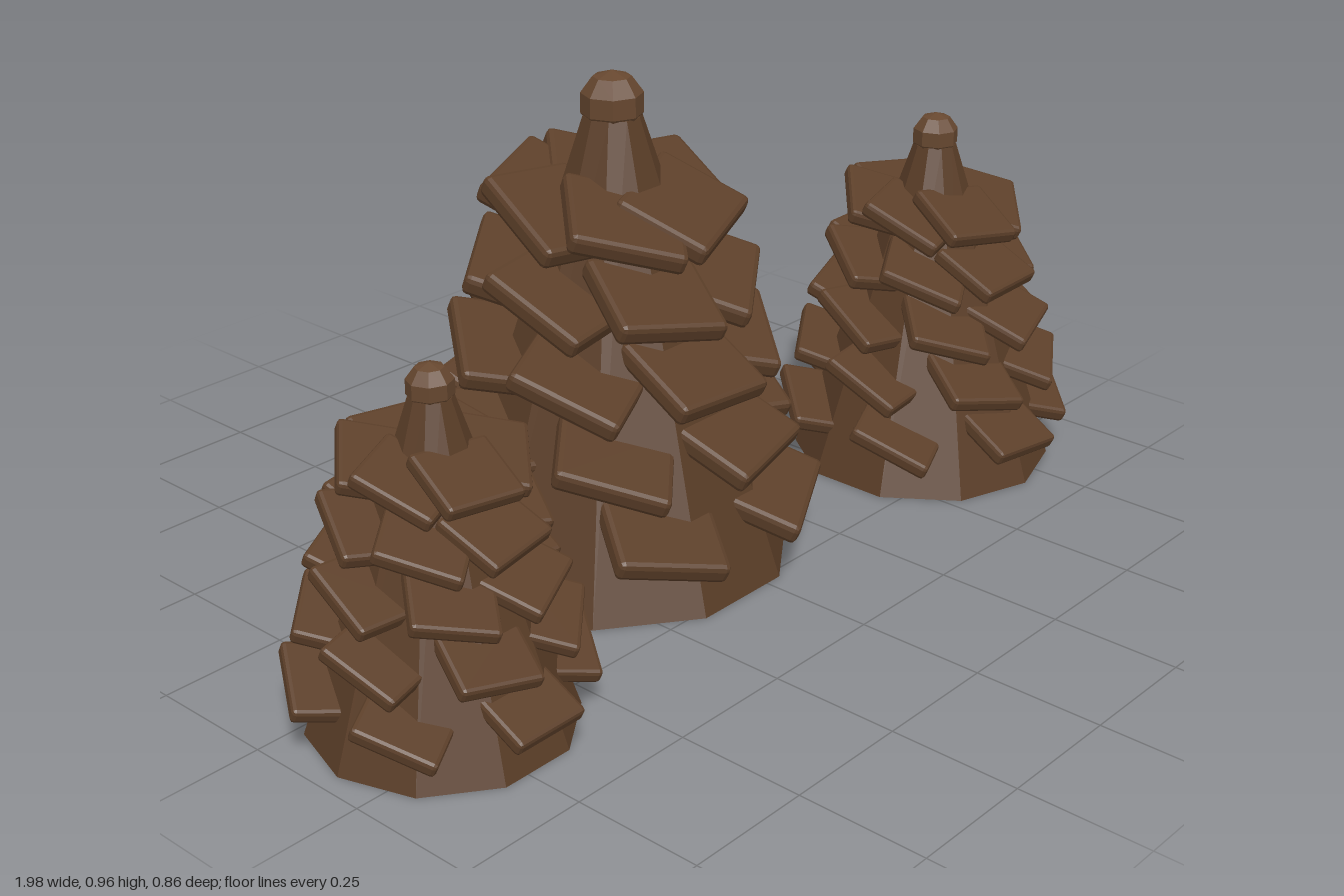
import * as THREE from 'three';
import { RoundedBoxGeometry } from 'three/addons/geometries/RoundedBoxGeometry.js';

const mat = (color) => new THREE.MeshStandardMaterial({ color, flatShading: true });
const trunkMat = mat(0x5a3d27);
const shingleMat = mat(0x5c3f29);
const capMat = mat(0x66472f);

const TIERS = 5;
const PER_TIER = 6;
const TIER_TWIST = 0.3; // each tier turns a little against the one below
const TILT = 0.45;      // all shingles lean the same way, low at the front

const shingleGeo = new RoundedBoxGeometry(0.22, 0.042, 0.19, 1, 0.011);
const capGeo = new THREE.SphereGeometry(0.061, 8, 5);

// One shingled cone: tapered ten-sided body, tiers of shingles, faceted cap
function makeTree(name, x, z, scale, twist, bodyTurn) {
  const tree = new THREE.Group();
  tree.name = name;

  const bodyGeo = new THREE.CylinderGeometry(0.055, 0.343, 0.875, 10, 1, false, bodyTurn);
  const body = new THREE.Mesh(bodyGeo, trunkMat);
  body.name = 'coneBody';
  body.position.y = 0.4375;
  tree.add(body);

  for (let i = 0; i < TIERS; i++) {
    const tier = new THREE.Group();
    tier.name = `shingleTier${i + 1}`;
    tier.position.y = 0.16 + 0.138 * i;
    const radius = 0.29 - 0.039 * i;
    for (let k = 0; k < PER_TIER; k++) {
      const a = (k / PER_TIER) * Math.PI * 2 + twist + i * TIER_TWIST;
      const shingle = new THREE.Mesh(shingleGeo, shingleMat);
      shingle.name = 'shingle';
      shingle.position.set(Math.cos(a) * radius, 0, Math.sin(a) * radius);
      shingle.rotation.set(TILT, Math.PI / 2 - a, 0);
      tier.add(shingle);
    }
    tree.add(tier);
  }

  const cap = new THREE.Mesh(capGeo, capMat);
  cap.name = 'cap';
  cap.position.y = 0.897;
  tree.add(cap);

  tree.position.set(x, 0, z);
  tree.scale.setScalar(scale);
  return tree;
}

export function createModel() {
  const model = new THREE.Group();
  model.name = 'coneTrees';
  model.add(
    makeTree('largeTree', -0.07, -0.055, 1, 0, Math.PI / 2),
    makeTree('mediumTree', 0.683, 0.132, 0.776, 0.65, 0),
    makeTree('smallTree', -0.727, 0.16, 0.69, 0.52, Math.PI / 2)
  );
  return model;
}
